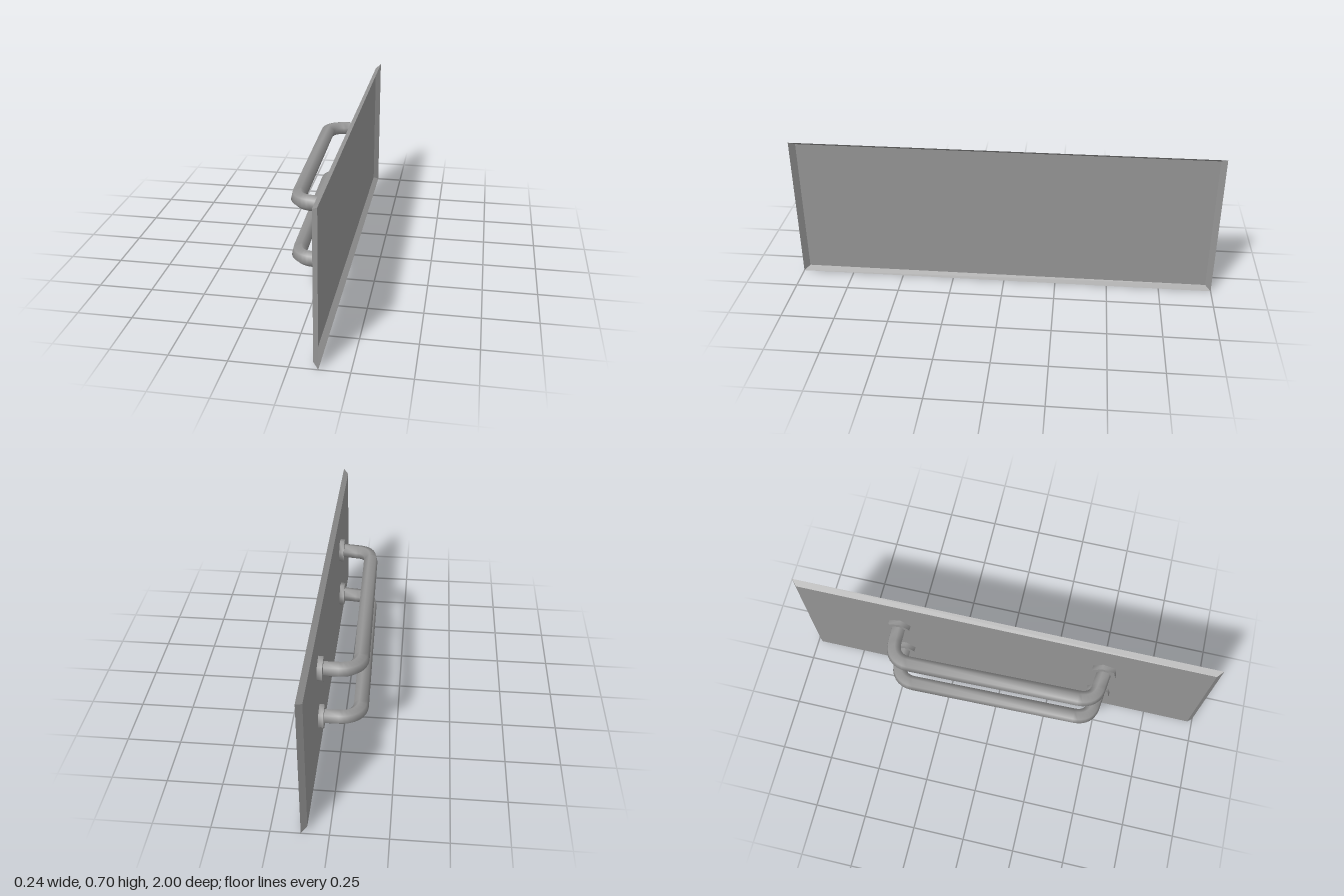
import * as THREE from 'three';

const SIDES = 6;
const TWIST = -0.3; // rotation of the six-sided section around its path

// Sweep a six-sided ring along a level path of [x, z] points; smooth sides, flat ends
function sweep(points, radius, y) {
  const pos = [], idx = [];
  const rings = points.map(([x, z], i) => {
    const [ax, az] = points[Math.max(i - 1, 0)];
    const [bx, bz] = points[Math.min(i + 1, points.length - 1)];
    const len = Math.hypot(bx - ax, bz - az);
    const ox = -(bz - az) / len, oz = (bx - ax) / len; // outward side of the path
    return Array.from({ length: SIDES }, (_, k) => {
      const a = TWIST + (k / SIDES) * Math.PI * 2;
      const r = radius * Math.cos(a);
      return [x + ox * r, y + radius * Math.sin(a), z + oz * r];
    });
  });
  rings.forEach((ring) => ring.forEach((p) => pos.push(...p)));
  for (let i = 0; i < rings.length - 1; i++) {
    for (let k = 0; k < SIDES; k++) {
      const n = (k + 1) % SIDES;
      const a = i * SIDES + k, b = i * SIDES + n, c = a + SIDES, d = b + SIDES;
      idx.push(a, c, b, b, c, d);
    }
  }
  // end faces with their own corners
  [rings[0], rings[rings.length - 1]].forEach((ring, e) => {
    const s = pos.length / 3;
    ring.forEach((p) => pos.push(...p));
    for (let k = 1; k < SIDES - 1; k++) {
      idx.push(s, ...(e ? [s + k + 1, s + k] : [s + k, s + k + 1]));
    }
  });
  // keep the faces pointing away from the path
  const geo = new THREE.BufferGeometry();
  geo.setAttribute('position', new THREE.Float32BufferAttribute(pos, 3));
  geo.setIndex(idx);
  geo.computeVertexNormals();
  return geo;
}

// Shallow open tray: a floor and four sloping walls
function trayGeometry() {
  const rect = (x, y0, y1, z) => [[x, y0, z], [x, y0, -z], [x, y1, -z], [x, y1, z]];
  const floor = rect(0.095, 0.018, 0.685, 0.975);
  const rim = rect(0.12, 0, 0.703, 1);
  const pos = [];
  const quad = (a, b, c, d) => pos.push(...a, ...b, ...c, ...a, ...c, ...d);
  quad(...floor);
  for (let k = 0; k < 4; k++) {
    const n = (k + 1) % 4;
    quad(rim[k], rim[n], floor[n], floor[k]);
  }
  const geo = new THREE.BufferGeometry();
  geo.setAttribute('position', new THREE.Float32BufferAttribute(pos, 3));
  geo.computeVertexNormals();
  return geo;
}

export function createModel() {
  const model = new THREE.Group();
  const grey = new THREE.MeshStandardMaterial({ color: 0x959595, side: THREE.DoubleSide });
  grey.name = 'grey metal';
  const add = (name, geo, parent) => {
    const mesh = new THREE.Mesh(geo, grey);
    mesh.name = name;
    parent.add(mesh);
  };

  add('panel', trayGeometry(), model);

  // Bar path: leg, bend, long grip, bend, leg
  const v = (x, z) => new THREE.Vector3(x, 0, z);
  const bends = [
    new THREE.CubicBezierCurve3(v(0.005, -0.502), v(-0.05, -0.502), v(-0.088, -0.47), v(-0.087, -0.41)),
    new THREE.CubicBezierCurve3(v(-0.071, 0.4), v(-0.07, 0.45), v(-0.045, 0.48), v(0.005, 0.483)),
  ];
  const path = [
    [0.085, -0.503],
    ...bends.flatMap((c) => c.getPoints(8).map((p) => [p.x, p.z])),
    [0.085, 0.493],
  ];

  for (const [name, y] of [['lower', 0.215], ['upper', 0.485]]) {
    const handle = new THREE.Group();
    handle.name = name + 'Handle';
    add('bar', sweep(path, 0.0355, y), handle);
    add('backNut', sweep([[0.0945, -0.504], [0.071, -0.504]], 0.06, y), handle);
    add('frontNut', sweep([[0.071, 0.492], [0.0945, 0.492]], 0.06, y), handle);
    model.add(handle);
  }
  return model;
}
